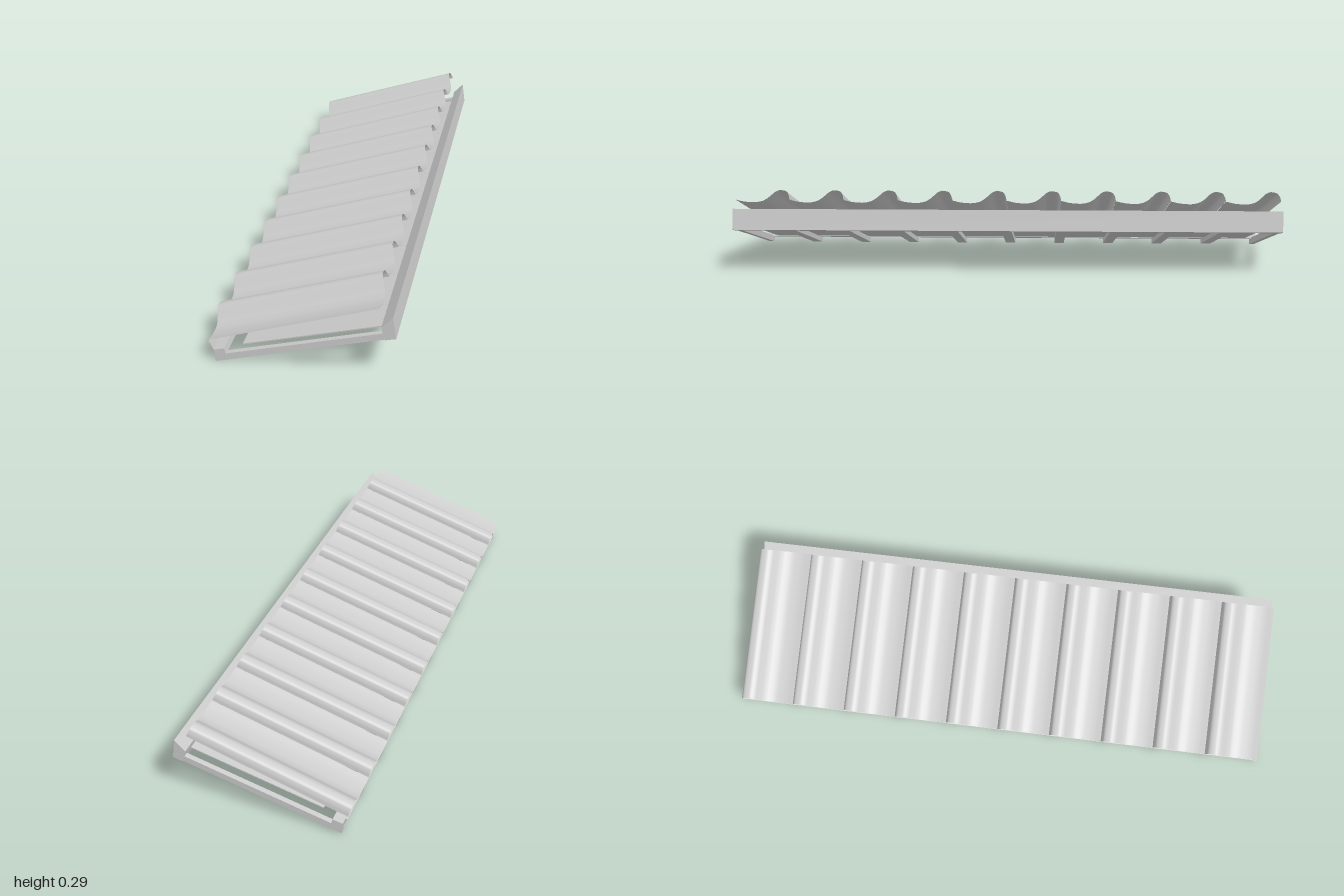
import * as THREE from 'three';

const LENGTH = 2, BAYS = 10, PITCH = LENGTH / BAYS;

export function createModel() {
  const model = new THREE.Group();
  const mat = new THREE.MeshStandardMaterial({ color: 0xcccccc });
  const thin = new THREE.MeshStandardMaterial({ color: 0xcccccc, side: THREE.DoubleSide });

  // Extrudes an x/y outline along z from z0 to z1
  function bar(name, outline, z0, z1) {
    const shape = new THREE.Shape(outline.map(([x, y]) => new THREE.Vector2(x, y)));
    const geo = new THREE.ExtrudeGeometry(shape, { depth: z1 - z0, bevelEnabled: false });
    geo.translate(0, 0, z0);
    const mesh = new THREE.Mesh(geo, mat);
    mesh.name = name;
    model.add(mesh);
  }

  // Sloping rafters, half width at both ends
  const rafter = [[-0.28, 0], [0.275, 0.15], [0.27, 0.172], [-0.247, 0.033], [-0.284, 0.024]];
  for (let i = 0; i <= BAYS; i++) {
    const z = -1 + i * PITCH;
    bar('rafter', rafter, Math.max(-1, z - 0.019), Math.min(1, z + 0.019));
  }

  // Long boards: ridge fascia, eave batten, closing strip under the tiles
  bar('ridgeBoard', [[0.275, 0.147], [0.311, 0.156], [0.3, 0.232], [0.263, 0.193], [0.268, 0.171]], -1, 1);
  bar('eaveBatten', [[-0.282, 0.02], [-0.244, 0.03], [-0.25, 0.052], [-0.286, 0.043]], -1, 1);
  bar('eaveStrip', [[-0.285, 0.043], [-0.295, 0.07], [-0.302, 0.068]], -1, 1);

  // Deck boarding flush with the rafter tops
  bar('deck', [[-0.2, 0.0405], [0.27, 0.167], [0.269, 0.171], [-0.201, 0.0445]], -0.95, 0.95);

  // Roll-shaped tile section: position across the bay, relative height
  const section = new THREE.CatmullRomCurve3([
    [0, 0.25], [0.005, 0.65], [0.017, 0.93], [0.035, 1], [0.05, 0.9], [0.066, 0.62],
    [0.085, 0.28], [0.105, 0.08], [0.13, 0], [0.16, 0.04], [0.2, 0.22],
  ].map(([t, h]) => new THREE.Vector3(t, h, 0)), false, 'centripetal').getPoints(40);

  // One tile: the section swept from the eave up to the ridge
  const pos = [], index = [];
  section.forEach(({ x: t, y: h }, i) => {
    pos.push(-0.301 - 0.011 * h, 0.068 + 0.047 * h, t);
    pos.push(0.26 - 0.02 * h, 0.25 + 0.043 * h, t);
    if (i > 0) {
      const a = 2 * (i - 1);
      index.push(a, a + 2, a + 1, a + 1, a + 2, a + 3);
    }
  });
  const tileGeo = new THREE.BufferGeometry();
  tileGeo.setAttribute('position', new THREE.Float32BufferAttribute(pos, 3));
  tileGeo.setIndex(index);
  tileGeo.computeVertexNormals();

  const tiles = new THREE.Group();
  tiles.name = 'roofTiles';
  for (let i = 0; i < BAYS; i++) {
    const tile = new THREE.Mesh(tileGeo, thin);
    tile.name = 'tile';
    tile.position.z = -1 + i * PITCH;
    tiles.add(tile);
  }
  model.add(tiles);
  return model;
}
